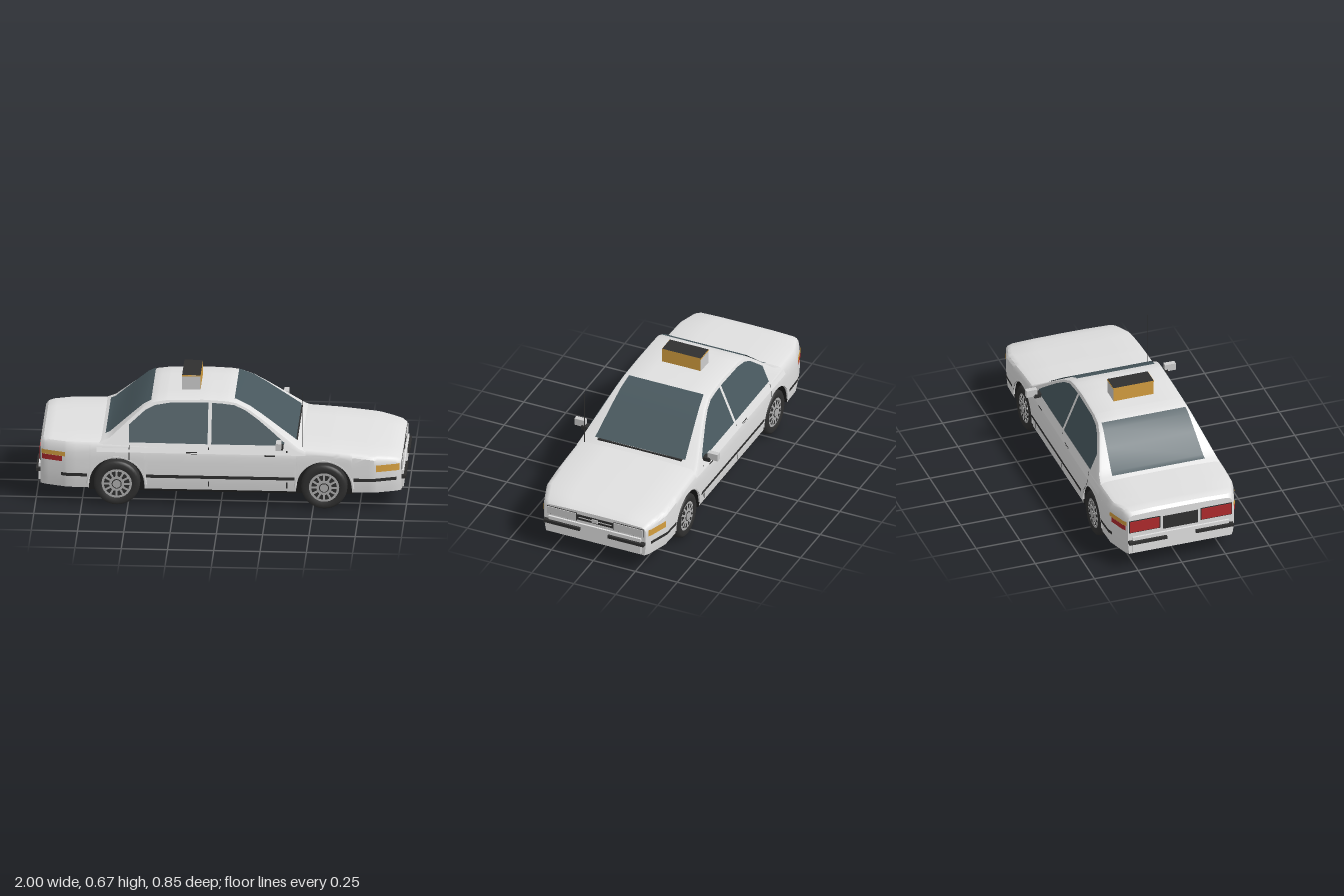
import * as THREE from 'three';
import { toCreasedNormals } from 'three/addons/utils/BufferGeometryUtils.js';

const mat = (name, color, side = THREE.FrontSide) => {
  const m = new THREE.MeshStandardMaterial({ color, side });
  m.name = name;
  return m;
};
const clamp = (v) => Math.min(1, Math.max(0, v));
const WHEELS = [-0.56, 0.56];
const ARCH = 0.15;

// Piecewise linear curve through [x, value] points
function curve(pts, x) {
  for (let i = 1; i < pts.length; i++) {
    if (x <= pts[i][0]) {
      const [a, b] = [pts[i - 1], pts[i]];
      return a[1] + (b[1] - a[1]) * clamp((x - a[0]) / (b[0] - a[0]));
    }
  }
  return pts[pts.length - 1][1];
}

const DECK = [[-0.975, 0.34], [-0.96, 0.357], [-0.93, 0.364], [-0.65, 0.366], [-0.3, 0.358], [0.3, 0.35],
  [0.45, 0.344], [0.6, 0.334], [0.8, 0.314], [0.9, 0.3], [0.95, 0.289], [0.975, 0.275]];
const PLAN = [[-0.975, 0.3], [-0.95, 0.317], [-0.83, 0.357], [-0.7, 0.361], [0.7, 0.361], [0.83, 0.357],
  [0.95, 0.317], [0.975, 0.3]];
const ROOF = [[-0.67, 0.355], [-0.6, 0.387], [-0.5, 0.475], [-0.42, 0.543], [-0.37, 0.569], [-0.3, 0.58],
  [-0.1, 0.586], [0.03, 0.58], [0.08, 0.572], [0.15, 0.541], [0.22, 0.495], [0.3, 0.438], [0.42, 0.352], [0.46, 0.335]];

// Half width of the lower body and of the leaning cabin sides
const sideZ = (x, y) => curve(PLAN, x)
  * (1 - 0.035 * clamp((y - 0.27) / 0.08) ** 2 - 0.025 * clamp((0.2 - y) / 0.1) ** 2);
const cabinZ = (y) => 0.346 - (y - 0.35) * 0.42;

// Lower edge of the body, raised over the wheels
function sillY(x) {
  for (const c of WHEELS) {
    const d = Math.abs(x - c);
    if (d <= ARCH) return 0.125 + Math.sqrt(Math.max(0, ARCH * ARCH - d * d));
  }
  return 0.1;
}

// Skin a row of cross-sections, optionally closing both ends
function loft(sections, caps = false) {
  const n = sections[0].length, last = (sections.length - 1) * n, index = [];
  for (let i = 0; i < sections.length - 1; i++) {
    for (let k = 0; k < n - 1; k++) {
      const a = i * n + k, b = a + n;
      index.push(a, b, b + 1, a, b + 1, a + 1);
    }
  }
  if (caps) {
    for (let k = 1; k < n - 1; k++) index.push(0, k, k + 1, last, last + k + 1, last + k);
  }
  const g = new THREE.BufferGeometry();
  g.setAttribute('position', new THREE.Float32BufferAttribute(sections.flat(2), 3));
  g.setIndex(index);
  return toCreasedNormals(g, 0.6);
}

const range = (a, b, n) => Array.from({ length: n + 1 }, (_, i) => a + (b - a) * i / n);
const mirrorSection = (half) => [...half, ...half.slice(0, -1).reverse().map(([x, y, z]) => [x, y, -z])];

export function createModel() {
  const paint = mat('body paint', 0xe0e0e0);
  const glass = mat('window glass', 0x48585e, THREE.DoubleSide);
  const trim = mat('dark trim', 0x303030);
  const under = mat('underbody', 0x1c1c1c, THREE.DoubleSide);
  const lamp = mat('pale lamp', 0xcdcdcd);
  const amber = mat('amber', 0xd59f40);
  const red = mat('red', 0xb02a2c);
  const rimGrey = mat('rim grey', 0xaeaeae);

  const car = new THREE.Group();
  car.name = 'taxi';
  const add = (name, geo, material, x = 0, y = 0, z = 0, parent = car) => {
    const m = new THREE.Mesh(geo, material);
    m.name = name;
    m.position.set(x, y, z);
    parent.add(m);
    return m;
  };
  // Box given by its limits
  const box = (name, m, x0, x1, y0, y1, z0, z1) => add(name,
    new THREE.BoxGeometry(x1 - x0, y1 - y0, z1 - z0), m, (x0 + x1) / 2, (y0 + y1) / 2, (z0 + z1) / 2);
  const pair = (name, m, x0, x1, y0, y1, z0, z1) => {
    box(name, m, x0, x1, y0, y1, z0, z1);
    box(name, m, x0, x1, y0, y1, -z1, -z0);
  };
  // Thin strip that follows both flanks
  const decal = (name, m, x0, x1, y0, y1) => {
    const xs = [x0, ...PLAN.map((p) => p[0]).filter((x) => x > x0 && x < x1), x1];
    for (const s of [1, -1]) {
      add(name, loft(xs.map((x) => {
        const row = [y0, y1].map((y) => [x, y, s * (sideZ(x, y) + 0.004)]);
        return s > 0 ? row : row.reverse();
      })), m);
    }
  };

  // Lower body with hood, trunk and wheel arches
  const xs = [...range(-0.975, 0.975, 30), ...DECK.map((p) => p[0]), ...PLAN.map((p) => p[0])];
  for (const c of WHEELS) {
    for (const a of range(0, Math.PI, 20)) xs.push(c + ARCH * 0.9999 * Math.cos(a));
    xs.push(c - ARCH - 0.0005, c + ARCH + 0.0005);
  }
  const stations = [...new Set(xs)].sort((a, b) => a - b);
  add('body', loft(stations.map((x) => {
    const t = curve(DECK, x), s = sideZ(x, t - 0.022);
    const half = range(sillY(x), t - 0.022, 6).map((y) => [x, y, sideZ(x, y)]);
    half.push([x, t - 0.008, s * 0.97], [x, t - 0.001, s * 0.91], [x, t + 0.003, s * 0.5], [x, t + 0.004, 0]);
    return mirrorSection(half);
  }), true), paint);

  // Floor, which also lines the wheel arches
  const floor = (name, m, x0, x1) => add(name, loft([x0, ...stations.filter((x) => x > x0 && x < x1), x1].map((x) => {
    const y = sillY(x), z = sideZ(x, y) - 0.001;
    return [[x, y, -z], [x, y, z]];
  })), m);
  floor('floor', under, -0.88, 0.84);
  floor('rearChin', paint, -0.975, -0.88);
  floor('frontChin', paint, 0.84, 0.975);
  box('sill', under, -0.405, 0.405, 0.086, 0.104, -0.345, 0.345);
  for (const c of WHEELS) box('wheelWell', under, c - 0.155, c + 0.155, 0.06, 0.27, -0.274, 0.274);

  // Cabin shell
  add('cabin', loft([...new Set([...range(-0.67, 0.46, 24), ...ROOF.map((p) => p[0])])].sort((a, b) => a - b).map((x) => {
    const t = curve(ROOF, x), w = cabinZ(t - 0.018);
    const half = range(0.31, t - 0.018, 3).map((y) => [x, y, cabinZ(y)]);
    half.push([x, t - 0.006, w * 0.98], [x, t - 0.001, w * 0.93], [x, t + 0.002, w * 0.5], [x, t + 0.003, 0]);
    return mirrorSection(half);
  })), paint);

  // Windshield and rear window follow the roof curve
  const pane = (name, x0, z0, x1, z1) => add(name,
    loft([x0, ...ROOF.map((p) => p[0]).filter((x) => x > x0 && x < x1), x1].map((x) => {
      const y = curve(ROOF, x) + 0.007, z = z0 + (z1 - z0) * (x - x0) / (x1 - x0);
      return [[x, y, z], [x, y, -z]];
    })), glass);
  pane('windshield', 0.07, 0.222, 0.405, 0.268);
  pane('rearWindow', -0.625, 0.265, -0.38, 0.24);
  box('wiperCowl', trim, 0.395, 0.412, 0.352, 0.367, -0.25, 0.25);

  // Side windows
  const windows = {
    frontSideWindow: [[-0.05, 0.36], [0.34, 0.36], [0.345, 0.375], [0.28, 0.427], [0.2, 0.488], [0.13, 0.533],
      [0.07, 0.557], [0, 0.564], [-0.05, 0.566]],
    rearSideWindow: [[-0.495, 0.362], [-0.07, 0.36], [-0.07, 0.567], [-0.28, 0.563], [-0.36, 0.55],
      [-0.41, 0.525], [-0.495, 0.452]],
  };
  for (const [name, pts] of Object.entries(windows)) {
    for (const s of [1, -1]) {
      const g = new THREE.ShapeGeometry(new THREE.Shape(pts.map((p) => new THREE.Vector2(...p))));
      const p = g.attributes.position;
      for (let i = 0; i < p.count; i++) p.setZ(i, s * (cabinZ(p.getY(i)) + 0.004));
      g.computeVertexNormals();
      add(name, g, glass);
    }
  }

  // Flank trim, door seams, handles and wrap-around lamps
  for (const [a, b] of [[-0.4, 0.4], [-0.86, -0.72], [0.72, 0.95]]) decal('rubStrip', trim, a, b, 0.167, 0.185);
  decal('doorSeam', trim, -0.495, -0.49, 0.268, 0.35);
  decal('doorSeam', trim, -0.067, -0.061, 0.12, 0.345);
  decal('doorSeam', trim, 0.355, 0.363, 0.12, 0.335);
  decal('doorHandle', trim, -0.185, -0.125, 0.307, 0.32);
  decal('doorHandle', trim, 0.24, 0.295, 0.3, 0.313);
  decal('frontMarker', amber, 0.84, 0.965, 0.222, 0.26);
  decal('rearMarker', amber, -0.97, -0.84, 0.278, 0.302);
  decal('rearSideLamp', red, -0.965, -0.855, 0.248, 0.277);

  // Front end
  pair('headlightFrame', trim, 0.974, 0.977, 0.214, 0.264, 0.11, 0.288);
  pair('headlight', lamp, 0.976, 0.981, 0.217, 0.261, 0.113, 0.285);
  box('grille', trim, 0.974, 0.979, 0.224, 0.256, -0.106, 0.106);
  box('grilleBar', lamp, 0.978, 0.981, 0.238, 0.243, -0.098, 0.098);
  box('grilleCentre', lamp, 0.978, 0.983, 0.23, 0.25, -0.018, 0.018);

  // Rear end
  pair('tailLightFrame', trim, -0.977, -0.974, 0.231, 0.306, 0.115, 0.294);
  pair('tailLight', red, -0.981, -0.976, 0.236, 0.301, 0.12, 0.29);
  box('plateRecess', trim, -0.979, -0.974, 0.222, 0.3, -0.1, 0.1);

  // Bumpers with split rubber strips
  for (const s of [1, -1]) {
    const at = (a, b) => (s > 0 ? [a, b] : [-b, -a]);
    box('bumper', paint, ...at(0.93, 0.986), 0.112, 0.205, -0.275, 0.275);
    pair('bumperStrip', trim, ...at(0.972, 1), 0.167, 0.184, 0.083, 0.298);
  }

  // Wheels
  const tyre = new THREE.LatheGeometry([[0.08, -0.04], [0.11, -0.04], [0.122, -0.031], [0.125, -0.02], [0.125, 0.02],
    [0.122, 0.031], [0.11, 0.04], [0.084, 0.038], [0.08, 0.03]].map((p) => new THREE.Vector2(...p)), 32);
  const disc = (r, h) => new THREE.CylinderGeometry(r, r, h, 32);
  for (const c of WHEELS) {
    for (const s of [1, -1]) {
      const wheel = new THREE.Group();
      wheel.name = 'wheel';
      wheel.position.set(c, 0.125, s * 0.316);
      wheel.rotation.x = s * Math.PI / 2;
      car.add(wheel);
      add('tyre', tyre, trim, 0, 0, 0, wheel);
      add('rim', disc(0.083, 0.068), rimGrey, 0, 0, 0, wheel);
      add('rimSlots', disc(0.069, 0.004), trim, 0, 0.035, 0, wheel);
      for (let i = 0; i < 12; i++) {
        const a = i * Math.PI / 6;
        const spoke = add('spoke', new THREE.BoxGeometry(0.036, 0.004, 0.011), rimGrey,
          0.053 * Math.cos(a), 0.037, -0.053 * Math.sin(a), wheel);
        spoke.rotation.y = a;
      }
      add('hub', disc(0.041, 0.006), rimGrey, 0, 0.037, 0, wheel);
      add('hubRing', disc(0.027, 0.003), trim, 0, 0.04, 0, wheel);
      add('hubCap', disc(0.022, 0.005), rimGrey, 0, 0.041, 0, wheel);
      add('archLip', new THREE.TorusGeometry(0.156, 0.008, 8, 28, Math.PI), paint, c, 0.125, s * 0.354);
    }
  }

  // Roof sign, door mirrors and aerial
  add('roofSign', new THREE.BoxGeometry(0.1, 0.085, 0.23), [amber, amber, trim, trim, lamp, lamp], -0.17, 0.626, 0);
  pair('signEdge', amber, -0.22, -0.12, 0.661, 0.668, 0.11, 0.116);
  pair('mirrorMount', trim, 0.3, 0.34, 0.348, 0.37, 0.335, 0.382);
  pair('mirror', lamp, 0.303, 0.331, 0.36, 0.4, 0.365, 0.427);
  add('aerial', new THREE.CylinderGeometry(0.002, 0.002, 0.315, 6), trim, 0.44, 0.4975, 0.315);

  return car;
}
